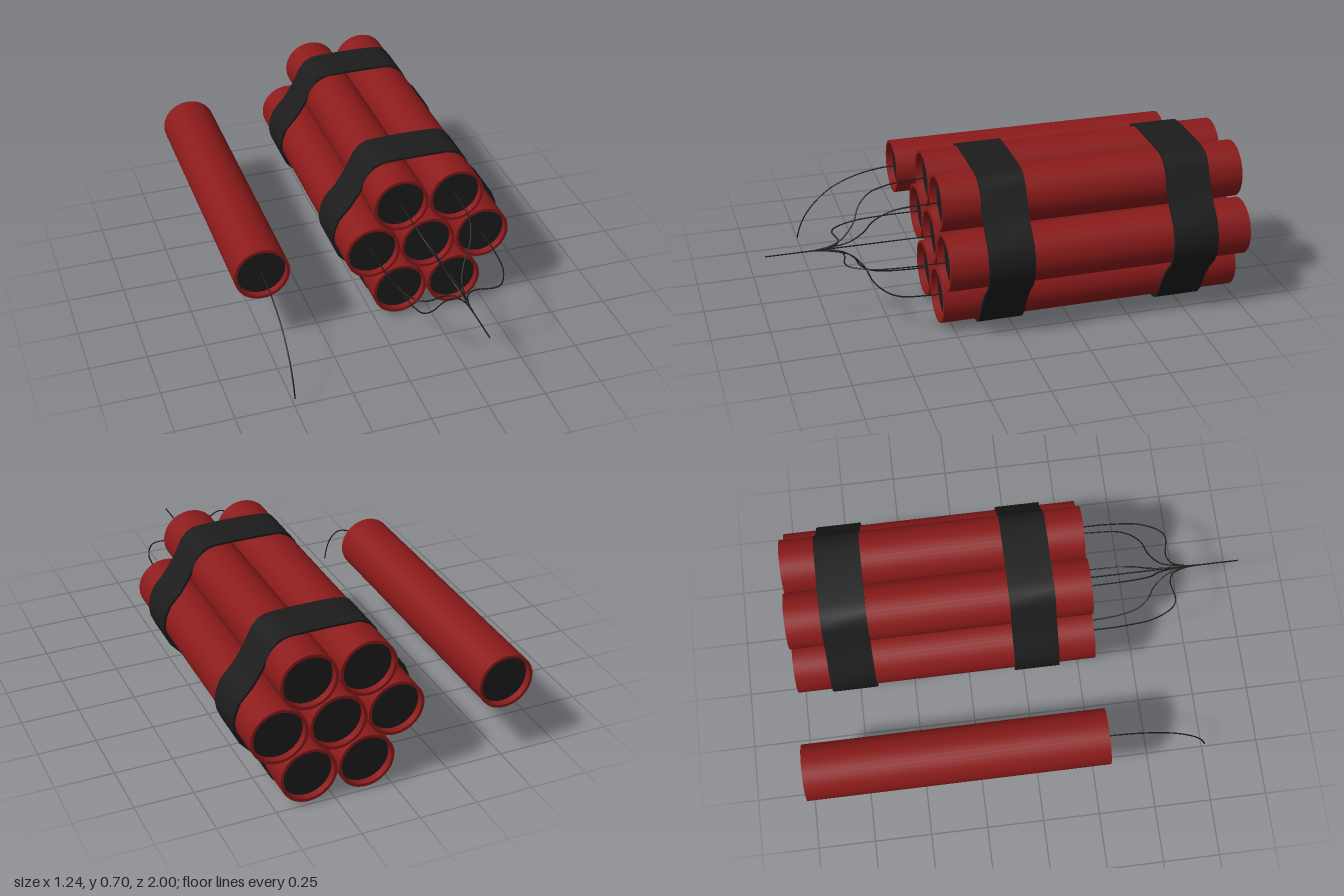
import * as THREE from 'three';
import { toCreasedNormals } from 'three/addons/utils/BufferGeometryUtils.js';

const RED = new THREE.MeshStandardMaterial({ color: 0x8b1a1a });
const BLACK = new THREE.MeshStandardMaterial({ color: 0x1c1c1c });
const R = 0.121, INNER = 0.108, BACK = -1, FRONT = 0.305, RECESS = 0.03;
const CX = 0.237, CY = 0.353, SPACING = 0.248;

function add(parent, name, geometry, material) {
  const mesh = new THREE.Mesh(geometry, material);
  mesh.name = name;
  parent.add(mesh);
  return mesh;
}

// Paper tube with a recessed dark filling at both ends
function createStick(name, x, y) {
  const stick = new THREE.Group();
  stick.name = name;
  const half = (FRONT - BACK) / 2;
  const profile = [
    [INNER, -half + RECESS], [INNER, -half], [R, -half],
    [R, half], [INNER, half], [INNER, half - RECESS],
  ].map(([r, h]) => new THREE.Vector2(r, h));
  const tube = toCreasedNormals(new THREE.LatheGeometry(profile, 40), 0.6);
  add(stick, 'paperTube', tube.rotateX(Math.PI / 2), RED);
  const filling = new THREE.CylinderGeometry(INNER, INNER, 2 * (half - RECESS), 40);
  add(stick, 'filling', filling.rotateX(Math.PI / 2), BLACK);
  stick.position.set(x, y, (FRONT + BACK) / 2);
  return stick;
}

function createFuse(parent, name, points) {
  const curve = new THREE.CatmullRomCurve3(points.map((p) => new THREE.Vector3(...p)));
  add(parent, name, new THREE.TubeGeometry(curve, 48, 0.003, 6), BLACK);
}

// Strap outline: one quarter mirrored into a loop around the bundle
function strapLoop(inset) {
  const quarter = [
    [0.381, 0], [0.374, 0.045], [0.354, 0.093], [0.304, 0.15], [0.264, 0.21],
    [0.224, 0.293], [0.197, 0.327], [0.168, 0.342], [0.125, 0.347], [0.06, 0.349],
  ].map(([x, y]) => {
    const k = 1 - inset / Math.hypot(x, y);
    return [x * k, y * k];
  });
  const upper = [...quarter, ...quarter.map(([x, y]) => [-x, y]).reverse()];
  const lower = upper.slice(1, -1).map(([x, y]) => [x, -y]).reverse();
  return [...upper, ...lower].map(([x, y]) => new THREE.Vector2(x, y));
}

function createStrap(name, z) {
  const shape = new THREE.Shape(strapLoop(0));
  shape.holes.push(new THREE.Path(strapLoop(0.01)));
  const geometry = new THREE.ExtrudeGeometry(shape, { depth: 0.195, bevelEnabled: false });
  const strap = new THREE.Mesh(toCreasedNormals(geometry, 0.7), BLACK);
  strap.name = name;
  strap.position.set(CX, 0.35, z);
  return strap;
}

export function createModel() {
  const model = new THREE.Group();
  model.name = 'stickBundle';

  // Bundle of seven with the central fuse
  model.add(createStick('centreStick', CX, CY));
  createFuse(model, 'mainFuse', [[CX, CY, 0.26], [CX, CY, 0.6], [CX, CY, 1]]);

  // Fuse paths as [distance from the bundle axis, z]
  const sidePath = [
    [1, 0.26], [0.99, 0.45], [0.92, 0.59], [0.73, 0.68], [0.59, 0.695],
    [0.27, 0.683], [0.11, 0.7], [0.02, 0.76], [0, 0.83],
  ];
  const diagonalPath = [
    [1, 0.26], [0.99, 0.36], [0.95, 0.46], [0.85, 0.54], [0.65, 0.59],
    [0.38, 0.62], [0.14, 0.675], [0.04, 0.73], [0, 0.8],
  ];
  for (let i = 0; i < 6; i++) {
    const angle = (i * Math.PI) / 3;
    const dx = Math.cos(angle) * SPACING, dy = Math.sin(angle) * SPACING;
    model.add(createStick(`outerStick${i + 1}`, CX + dx, CY + dy));
    const path = i % 3 === 0 ? sidePath : diagonalPath;
    // The left-hand diagonal fuses bend a little sooner
    const shift = i % 3 !== 0 && dx > 0 ? 0.025 : 0;
    createFuse(model, `outerFuse${i + 1}`, path.map(([f, z], k) =>
      [CX + dx * f, CY + dy * f, z - (k > 2 && k < 7 ? shift : 0)]));
  }

  model.add(createStrap('frontStrap', -0.05));
  model.add(createStrap('backStrap', -0.85));

  // Loose stick with a drooping fuse
  model.add(createStick('looseStick', -0.5, CY));
  createFuse(model, 'looseFuse', [
    [-0.5, 0.354, 0.26], [-0.5, 0.351, 0.35], [-0.5, 0.335, 0.45], [-0.5, 0.305, 0.54],
    [-0.5, 0.26, 0.62], [-0.5, 0.18, 0.7], [-0.5, 0.11, 0.74], [-0.5, 0.045, 0.76],
  ]);
  return model;
}
